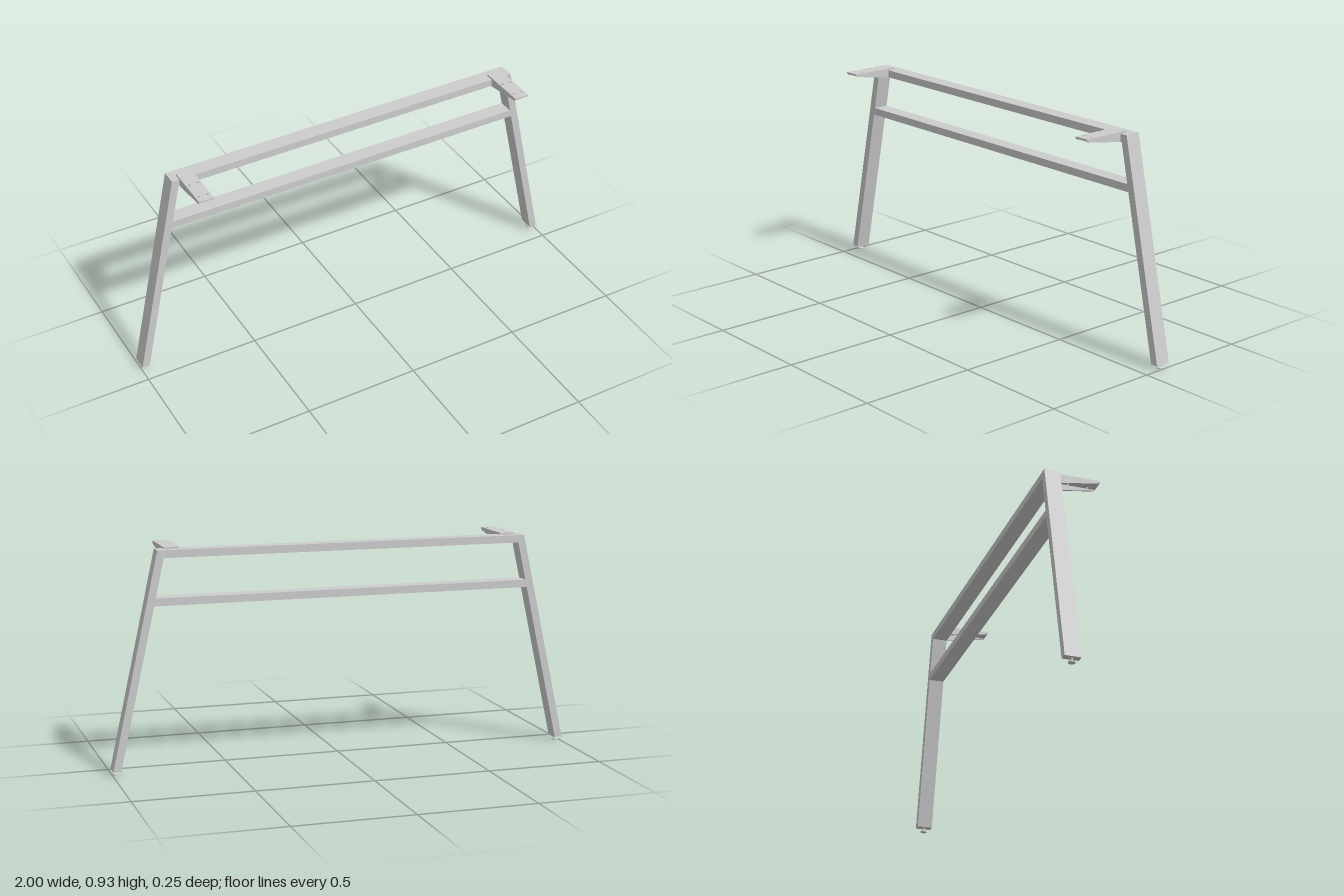
import * as THREE from 'three';

const material = new THREE.MeshStandardMaterial({ color: 0xcccccc, flatShading: true });
const smooth = new THREE.MeshStandardMaterial({ color: 0xcccccc });

const BACK = -0.125, DEPTH = 0.067, MID_Z = BACK + DEPTH / 2;
const TOP = 0.925, BOTTOM = 0.02, RAIL = 0.032, LEG_W = 0.033;

// x of the outer and inner leg faces at a given height
const outer = y => 0.8 + (TOP - y) * 0.2 / (TOP - BOTTOM);
const inner = y => outer(y) - LEG_W;

function mesh(name, geometry, mat = material) {
  const m = new THREE.Mesh(geometry, mat);
  m.name = name;
  return m;
}

function extrude(points, depth, holes = []) {
  const shape = new THREE.Shape(points.map(p => new THREE.Vector2(...p)));
  for (const [x, y, r] of holes) shape.holes.push(new THREE.Path().absarc(x, y, r, 0, Math.PI * 2, true));
  return new THREE.ExtrudeGeometry(shape, { depth, bevelEnabled: false, curveSegments: 8 });
}

// Bar of the frame, drawn in the front plane
function bar(name, points) {
  return mesh(name, extrude(points, DEPTH).translate(0, 0, BACK));
}

// Folded sheet bracket: drilled top plate with two tapering flanges
function bracket(x) {
  const g = new THREE.Group();
  g.name = 'tabletopBracket';
  const half = 0.0325, t = 0.006, top = 0.933, front = 0.125;
  const holes = [];
  for (const hx of [-0.019, 0.019]) for (const hz of [0.005, 0.09]) holes.push([hx, -hz, 0.005]);
  const plate = extrude([[-half, -front], [half, -front], [half, 0.09], [-half, 0.09]], 0.008, holes);
  g.add(mesh('bracketPlate', plate.rotateX(-Math.PI / 2).translate(0, top - 0.008, 0)));
  const profile = [[-0.058, top - 0.001], [-0.058, 0.892], [0.118, 0.92], [front, top - 0.001]];
  for (const fx of [-half + t, half]) {
    g.add(mesh('bracketFlange', extrude(profile, t).rotateY(-Math.PI / 2).translate(fx, 0, 0)));
  }
  g.position.x = x;
  return g;
}

// Levelling foot: threaded stem on a chamfered round pad
function foot(x) {
  const g = new THREE.Group();
  g.name = 'levellingFoot';
  g.add(mesh('footStem', new THREE.CylinderGeometry(0.005, 0.005, 0.016, 16).translate(0, 0.014, 0), smooth));
  g.add(mesh('footPad', new THREE.CylinderGeometry(0.014, 0.014, 0.005, 24).translate(0, 0.0025, 0), smooth));
  g.add(mesh('footCone', new THREE.CylinderGeometry(0.008, 0.014, 0.004, 24).translate(0, 0.007, 0), smooth));
  g.position.set(x, 0, MID_Z);
  return g;
}

export function createModel() {
  const model = new THREE.Group();
  model.name = 'tableFrame';
  const under = TOP - RAIL;

  // Top rail, mitred into the legs
  model.add(bar('topRail', [[-inner(under), under], [inner(under), under], [outer(TOP), TOP], [-outer(TOP), TOP]]));

  // Lower cross rail, cut to the slope of the legs
  const a = 0.698, b = a + RAIL;
  model.add(bar('crossRail', [[-inner(a), a], [inner(a), a], [inner(b), b], [-inner(b), b]]));

  for (const s of [-1, 1]) {
    model.add(bar(s > 0 ? 'leftLeg' : 'rightLeg', [
      [s * outer(TOP), TOP], [s * inner(under), under],
      [s * inner(BOTTOM), BOTTOM], [s * outer(BOTTOM), BOTTOM],
    ]));
    model.add(foot(s * (outer(BOTTOM) - LEG_W / 2)));
    model.add(bracket(s * 0.7355));
  }
  return model;
}
